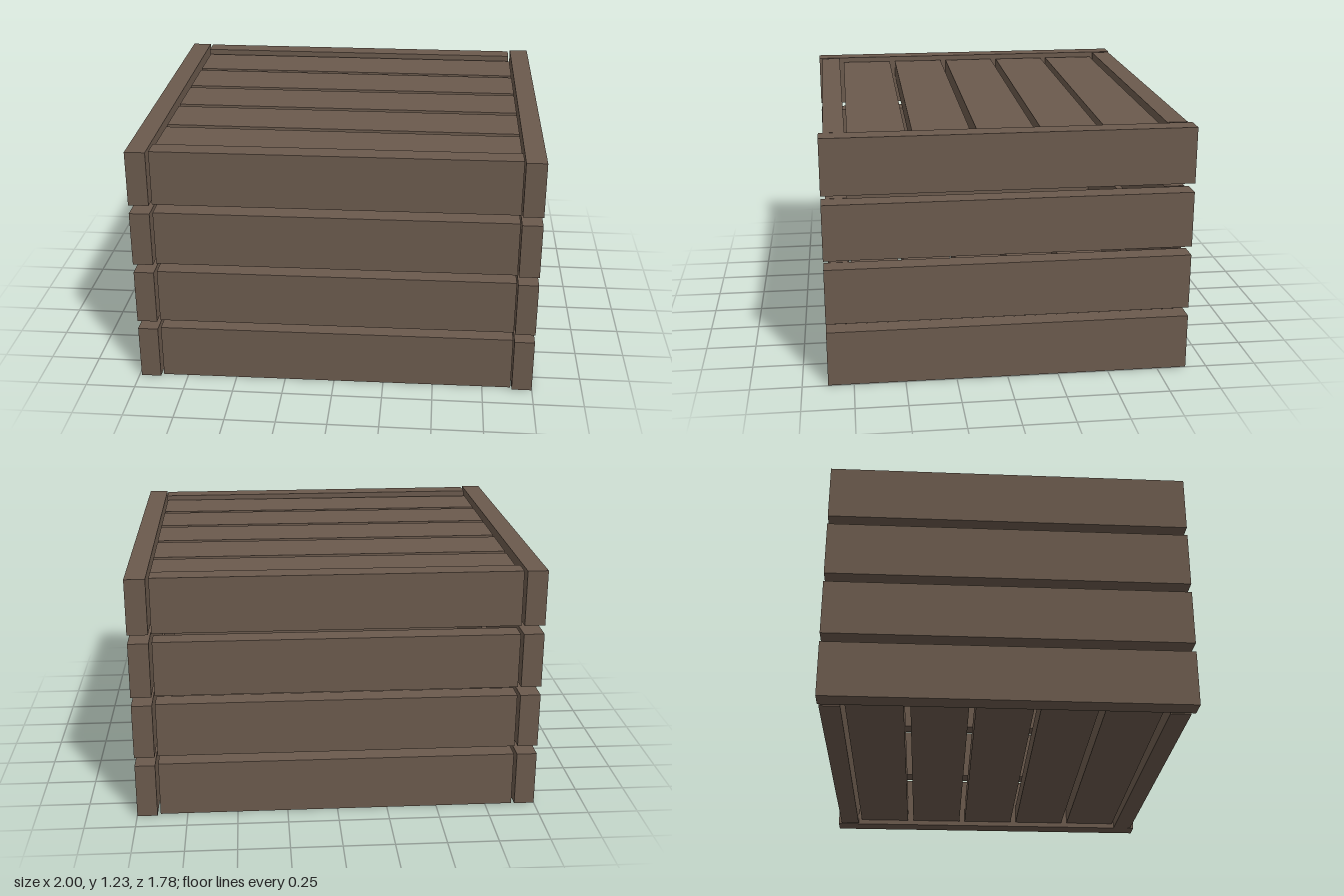
import * as THREE from 'three';

export function createModel() {
  const crate = new THREE.Group();
  crate.name = 'slattedCrate';
  const wood = new THREE.MeshStandardMaterial({ color: 0x6b5a4d, flatShading: true });

  const THICK = 0.1, WIDTH = 0.275, LENGTH = 1.77;

  function board(parent, name, size, position, yaw = 0) {
    const mesh = new THREE.Mesh(new THREE.BoxGeometry(...size), wood);
    mesh.name = name;
    mesh.position.set(...position);
    mesh.rotation.y = yaw;
    parent.add(mesh);
  }

  // Four stacked rings of wall boards, set slightly askew like hand-nailed planks
  for (let row = 0; row < 4; row++) {
    const ring = new THREE.Group();
    ring.name = `wallRing${row + 1}`;
    const y = 0.139 + row * 0.319;
    board(ring, 'leftBoard', [THICK, WIDTH, LENGTH], [0.949, y, -0.01]);
    board(ring, 'rightBoard', [THICK, WIDTH, LENGTH], [-0.944, y, 0.004], 0.0065);
    board(ring, 'frontBoard', [LENGTH, WIDTH, THICK], [0.008, y - 0.001, 0.812], 0.0085);
    board(ring, 'backBoard', [LENGTH, WIDTH, THICK], [0, y - 0.001, -0.826]);
    crate.add(ring);
  }

  // Floor and lid slats, recessed a little inside the rim
  for (const [name, y] of [['floor', 0.075], ['lid', 1.158]]) {
    const panel = new THREE.Group();
    panel.name = name;
    for (let i = 0; i < 5; i++) {
      board(panel, `${name}Slat${i + 1}`, [LENGTH, THICK, WIDTH], [0.006, y, -0.621 + i * 0.307]);
    }
    crate.add(panel);
  }

  return crate;
}
